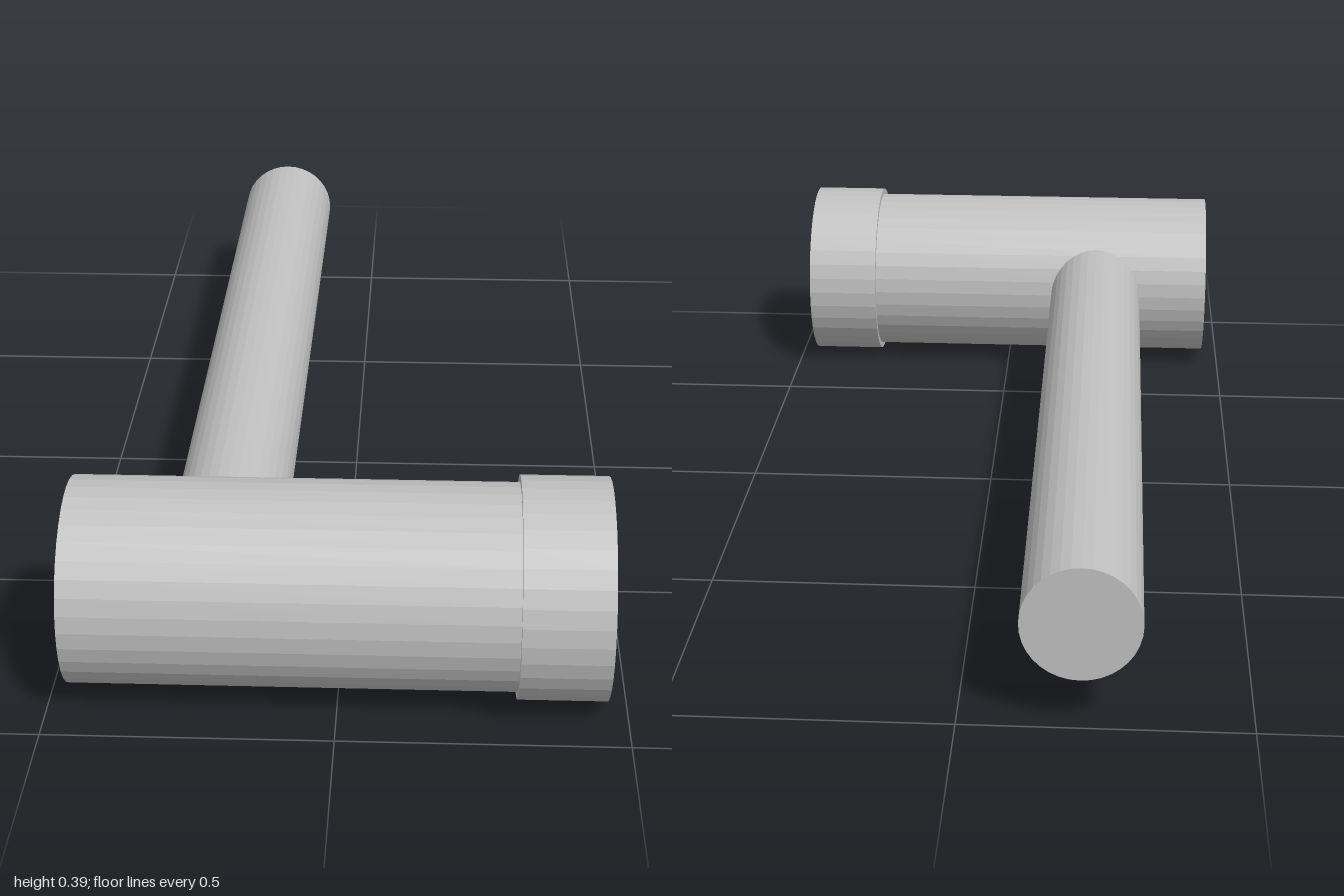
import * as THREE from 'three';

const SIDES = 36;
const AXIS_Y = 0.193; // shared height of head and handle axes
const HEAD_Z = 0.807;

export function createModel() {
  const model = new THREE.Group();
  model.name = 'mallet';
  const grey = new THREE.MeshStandardMaterial({ color: 0xc0c0c0 });
  grey.name = 'light grey';
  grey.flatShading = true;

  // Solid cylinder lying along x or z between two coordinates
  function rod(name, radius, axis, from, to) {
    const geometry = new THREE.CylinderGeometry(radius, radius, to - from, SIDES);
    if (axis === 'x') geometry.rotateZ(-Math.PI / 2);
    else geometry.rotateX(Math.PI / 2);
    const mesh = new THREE.Mesh(geometry, grey);
    mesh.name = name;
    mesh.position.set(0, AXIS_Y, HEAD_Z);
    mesh.position[axis] = (from + to) / 2;
    model.add(mesh);
    return mesh;
  }

  // Head barrel and the wider striking face on its left end
  rod('head', 0.18, 'x', -0.463, 0.32);
  rod('strikingFace', 0.193, 'x', 0.309, 0.463);

  // Handle, set into the back of the head
  rod('handle', 0.103, 'z', -1, 0.8).position.x = -0.207;

  return model;
}
